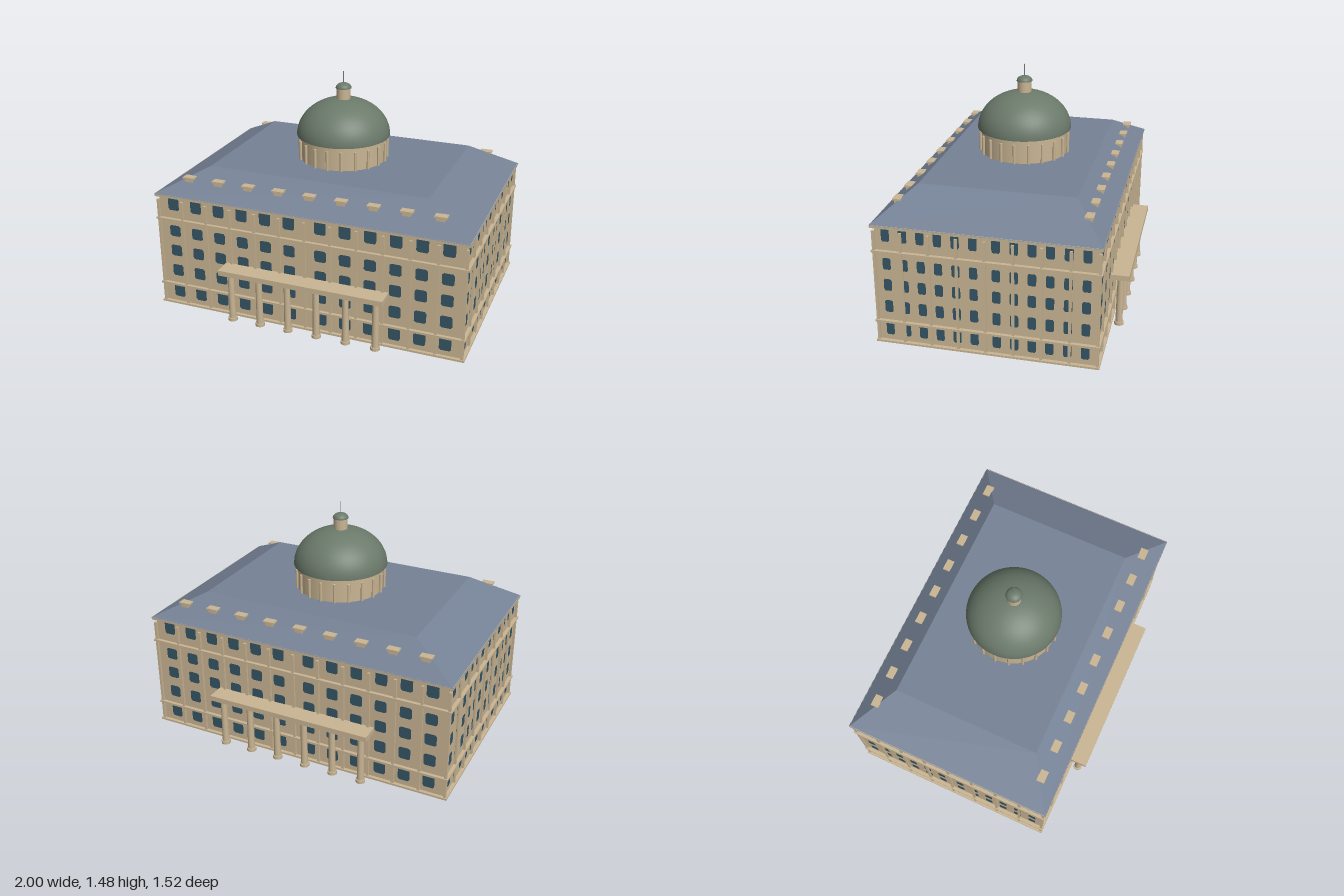
import * as THREE from 'three';
import { mergeGeometries } from 'three/addons/utils/BufferGeometryUtils.js';

const mat = (name, color) => {
  const m = new THREE.MeshStandardMaterial({ color });
  m.name = name;
  return m;
};

export function createModel() {
  const stone = mat('stone', 0xc9b593);
  const slate = mat('roof slate', 0x758195);
  const copper = mat('weathered copper', 0x6b7a6b);
  const glass = mat('window glass', 0x355565);
  const metal = mat('spire metal', 0x85888c);

  const root = new THREE.Group();
  root.name = 'domedBuilding';
  const add = (name, geo, material, x = 0, y = 0, z = 0, parent = root) => {
    const mesh = new THREE.Mesh(geo, material);
    mesh.name = name;
    mesh.position.set(x, y, z);
    parent.add(mesh);
    return mesh;
  };
  const group = (name) => {
    const g = new THREE.Group();
    g.name = name;
    root.add(g);
    return g;
  };
  const box = (w, h, d) => new THREE.BoxGeometry(w, h, d);

  // Main block
  const HX = 0.975, HZ = 0.642, H = 0.76;
  add('mainBlock', box(HX * 2, H, HZ * 2), stone, 0, H / 2, 0);

  // String courses and cornice
  for (const [y, h] of [[0.02, 0.012], [0.152, 0.014], [0.605, 0.012], [0.76, 0.018]])
    add('stringCourse', box(1.994, h, 1.324), stone, 0, y, 0);

  // Pilasters around all four walls
  const pilasters = group('pilasters');
  const pilaster = box(0.016, 0.71, 0.016);
  for (let k = -6; k <= 6; k++)
    for (const s of [-1, 1])
      add('pilaster', pilaster, stone, k * 0.1635, 0.375, s * 0.648, pilasters);
  for (let k = -3; k <= 3; k++)
    for (const s of [-1, 1])
      add('pilaster', pilaster, stone, s * 0.981, 0.375, k * 0.1625, pilasters);

  // Windows: one grid laid out on a unit-wide wall, fitted to each face
  const rows = [[0.06, 0.147], [0.211, 0.289], [0.352, 0.427], [0.488, 0.562], [0.666, 0.752]];
  const windowGrid = (halfWidth, height) => {
    const panes = [];
    const sx = halfWidth / HX, sy = height / H;
    for (const [y0, y1] of rows)
      for (let i = 0; i < 6; i++)
        for (const s of [-1, 1]) {
          const w = 0.037 * sx, c = w * 0.72, cx = s * (0.1 + 0.1554 * i) * sx;
          const h = (y1 - y0) / 2 * sy, e = h * 0.74, cy = (y0 + y1) / 2 * sy;
          const corners = [[w, -e], [w, e], [c, h], [-c, h], [-w, e], [-w, -e], [-c, -h], [c, -h]];
          panes.push(new THREE.ShapeGeometry(
            new THREE.Shape(corners.map(([x, y]) => new THREE.Vector2(cx + x, cy + y)))));
        }
    return mergeGeometries(panes);
  };
  const longGrid = windowGrid(HX, H), shortGrid = windowGrid(HZ, H);
  const gap = 0.003;
  add('frontWindows', longGrid, glass, 0, 0, HZ + gap);
  add('backWindows', longGrid, glass, 0, 0, -HZ - gap).rotation.y = Math.PI;
  add('leftWindows', shortGrid, glass, HX + gap, 0, 0).rotation.y = Math.PI / 2;
  add('rightWindows', shortGrid, glass, -HX - gap, 0, 0).rotation.y = -Math.PI / 2;
  // The same panes repeat on the underside
  add('undersidePanes', windowGrid(HX, HZ * 2), glass, 0, -0.001, -HZ).rotation.x = Math.PI / 2;

  // Hipped roof with a flat top: a box whose upper corners are drawn in
  const roof = box(2, 0.155, 1.33);
  const p = roof.attributes.position;
  for (let i = 0; i < p.count; i++)
    if (p.getY(i) > 0) p.setXYZ(i, Math.sign(p.getX(i)) * 0.7, p.getY(i), Math.sign(p.getZ(i)) * 0.466);
  roof.computeVertexNormals();
  add('roof', roof, slate, 0, 0.8435, 0);

  // Dormers along the front and back slopes
  const dormers = group('dormers');
  for (let k = -4; k <= 4; k++)
    for (const s of [-1, 1]) {
      add('dormerBody', box(0.053, 0.03, 0.042), stone, k * 0.2, 0.845, s * 0.552, dormers);
      add('dormerCap', box(0.075, 0.011, 0.05), stone, k * 0.2, 0.864, s * 0.555, dormers);
    }

  // Drum with its ring of colonnettes
  const drum = group('drum');
  add('drumWall', new THREE.CylinderGeometry(0.271, 0.271, 0.16, 48), stone, 0, 0.995, 0, drum);
  const colonnette = new THREE.CylinderGeometry(0.009, 0.009, 0.125, 10);
  for (let i = 0; i < 20; i++) {
    const a = i / 20 * Math.PI * 2;
    add('colonnette', colonnette, stone, Math.cos(a) * 0.277, 0.98, Math.sin(a) * 0.277, drum);
  }

  // Dome, lantern and spire
  const cap = (r, h) => {
    const shell = new THREE.SphereGeometry(r, 48, 20, 0, Math.PI * 2, 0, Math.PI / 2).scale(1, h / r, 1);
    const base = new THREE.CircleGeometry(r, 48).rotateX(Math.PI / 2);
    return mergeGeometries([shell, base]);
  };
  add('dome', cap(0.293, 0.232), copper, 0, 1.072, 0);
  add('lantern', new THREE.CylinderGeometry(0.043, 0.043, 0.09, 24), stone, 0, 1.325, 0);
  add('lanternDome', cap(0.049, 0.033), copper, 0, 1.369, 0);
  add('spire', new THREE.CylinderGeometry(0.0025, 0.0025, 0.08, 8), metal, 0, 1.435, 0);

  // Matching porticoes, front and back
  const shaft = new THREE.CylinderGeometry(0.019, 0.022, 0.3, 20);
  const disc = new THREE.CylinderGeometry(0.029, 0.029, 0.019, 20);
  for (const s of [-1, 1]) {
    const portico = group(s > 0 ? 'frontPortico' : 'backPortico');
    add('entablature', box(1.054, 0.033, 0.118), stone, 0, 0.353, s * 0.7, portico);
    for (let i = 0; i < 6; i++) {
      const x = (i - 2.5) * 0.188;
      add('columnShaft', shaft, stone, x, 0.172, s * 0.702, portico);
      add('columnBase', disc, stone, x, 0.019, s * 0.702, portico);
      add('columnCapital', disc, stone, x, 0.328, s * 0.702, portico);
    }
  }
  return root;
}
